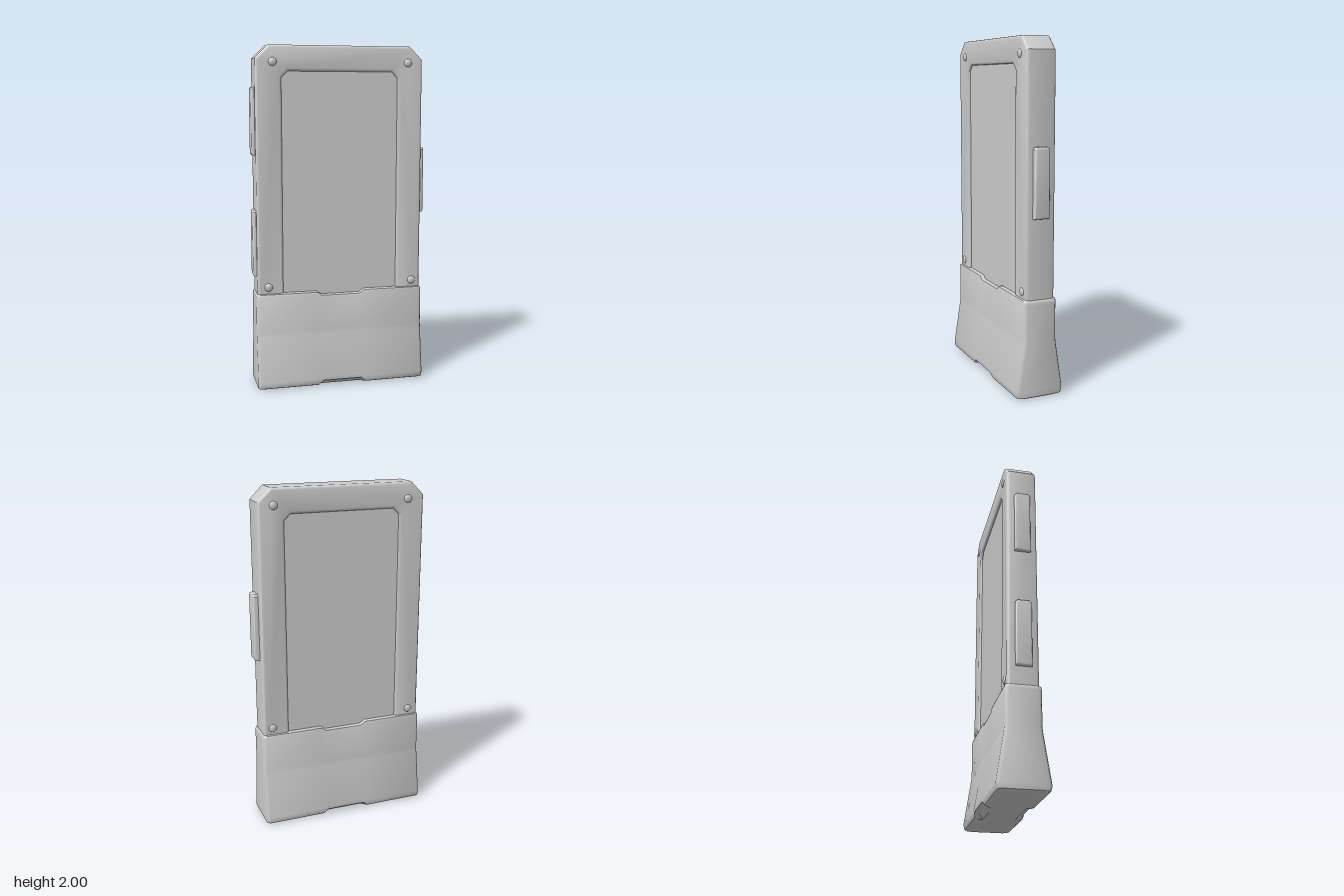
import * as THREE from 'three';
import { toCreasedNormals } from 'three/addons/utils/BufferGeometryUtils.js';

const material = new THREE.MeshStandardMaterial({ color: 0xcccccc });
const CX = -0.005; // shared centre line of frame, panel and base

function add(parent, name, geometry, x = 0, y = 0, z = 0) {
  const mesh = new THREE.Mesh(geometry, material);
  mesh.name = name;
  mesh.position.set(x, y, z);
  parent.add(mesh);
  return mesh;
}

// Upright rectangle whose two upper corners are cut off
function cutCornerPoints(halfWidth, bottom, top, cut) {
  return [
    [-halfWidth, bottom], [halfWidth, bottom], [halfWidth, top - cut],
    [halfWidth - cut, top], [-halfWidth + cut, top], [-halfWidth, top - cut],
  ].map(([x, y]) => new THREE.Vector2(x, y));
}

// Extrusion centred on z = 0 with a rounded edge kept inside the outline
function extrude(shape, depth, bevel) {
  const geometry = new THREE.ExtrudeGeometry(shape, {
    depth: depth - 2 * bevel, bevelEnabled: true, bevelSize: bevel,
    bevelThickness: bevel, bevelOffset: -bevel, bevelSegments: 3,
  });
  geometry.translate(0, 0, -depth / 2 + bevel);
  return toCreasedNormals(geometry, 0.6);
}

// Flared base: a y-z section carried along x, dipped and notched at mid width
function baseGeometry() {
  const stations = [ // x, top y, lower edge y, inset at the ends
    [-0.505, 0.565, 0, 0.02], [-0.499, 0.568, 0, 0.008], [-0.485, 0.57, 0, 0],
    [-0.145, 0.57, 0, 0], [-0.115, 0.55, 0.026, 0],
    [0.115, 0.55, 0.026, 0], [0.145, 0.57, 0, 0],
    [0.485, 0.57, 0, 0], [0.499, 0.568, 0, 0.008], [0.505, 0.565, 0, 0.02],
  ];
  const positions = [];
  const indices = [];
  let ringSize = 0;
  for (const [x, top, edge, inset] of stations) {
    const half = [
      [0.086, top - inset / 2], [0.096, top - 0.005 - inset / 2], [0.1, top - 0.016 - inset / 2],
      [0.1, 0.34], [0.103, 0.31], [0.144, 0.045 + edge / 2], [0.142, 0.022 + edge / 2],
      [0.136, 0.009 + edge], [0.12, 0.002 + edge + inset / 2], [0.09, inset / 2],
    ].map(([z, y]) => [z - inset, y]);
    const ring = [...half, ...half.map(([z, y]) => [-z, y]).reverse()];
    ringSize = ring.length;
    for (const [z, y] of ring) positions.push(x, y, z);
  }
  for (let s = 0; s < stations.length - 1; s++) {
    for (let i = 0; i < ringSize; i++) {
      const a = s * ringSize + i;
      const b = s * ringSize + (i + 1) % ringSize;
      indices.push(a, b, a + ringSize, b, b + ringSize, a + ringSize);
    }
  }
  // End caps, joined front to back
  const last = (stations.length - 1) * ringSize;
  for (let i = 0; i < ringSize / 2 - 1; i++) {
    const j = ringSize - 1 - i;
    indices.push(i, j, i + 1, i + 1, j, j - 1);
    indices.push(last + i, last + i + 1, last + j, last + i + 1, last + j - 1, last + j);
  }
  const geometry = new THREE.BufferGeometry();
  geometry.setAttribute('position', new THREE.Float32BufferAttribute(positions, 3));
  geometry.setIndex(indices);
  return toCreasedNormals(geometry, 0.7);
}

// Side button outline in y-z, turned so that it points along x
function buttonGeometry() {
  const shape = new THREE.Shape(cutCornerPoints(0.046, -0.195, 0.195, 0.012));
  const geometry = extrude(shape, 0.08, 0.012);
  geometry.rotateY(Math.PI / 2);
  return geometry;
}

export function createModel() {
  const model = new THREE.Group();
  model.name = 'handheldDevice';

  // Frame with an open window
  const frame = new THREE.Shape(cutCornerPoints(0.495, 0.48, 2, 0.075));
  frame.holes.push(new THREE.Path(cutCornerPoints(0.343, 0.53, 1.852, 0.036).reverse()));
  add(model, 'frame', extrude(frame, 0.176, 0.018), CX);

  // Recessed panel showing on both faces
  add(model, 'panel', new THREE.BoxGeometry(0.74, 1.38, 0.148), CX, 1.19, 0);

  add(model, 'base', baseGeometry(), CX);

  // Side buttons
  const button = buttonGeometry();
  add(model, 'leftButton', button, 0.48, 1.215, 0.003);
  for (const y of [1.57, 0.865]) add(model, 'rightButton', button, -0.48, y, 0.003);

  // Domed rivets at the frame corners, front and back
  const rivet = new THREE.SphereGeometry(0.025, 20, 12);
  for (const z of [0.084, -0.084]) {
    for (const [x, y] of [[-0.4, 1.905], [0.4, 1.905], [-0.437, 0.608], [0.437, 0.608]]) {
      add(model, 'rivet', rivet, x, y, z).scale.z = 0.55;
    }
  }
  return model;
}
